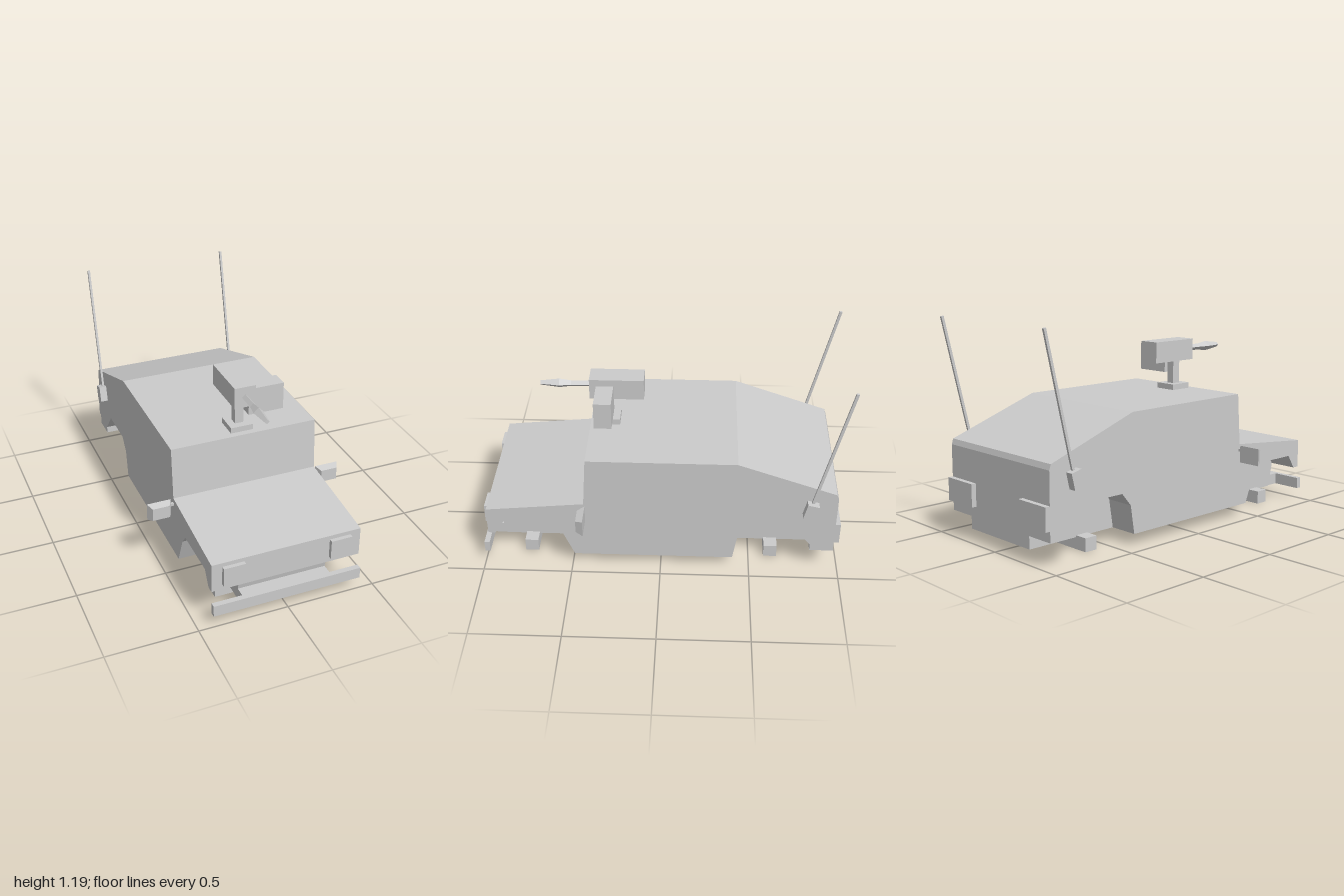
import * as THREE from 'three';

const material = new THREE.MeshStandardMaterial({ color: 0xcccccc, flatShading: true });

export function createModel() {
  const model = new THREE.Group();
  model.name = 'armouredTruck';

  const add = (name, geometry) => {
    const mesh = new THREE.Mesh(geometry, material);
    mesh.name = name;
    model.add(mesh);
    return mesh;
  };

  // Box given by its extents along each axis
  const box = (name, [x0, x1], [y0, y1], [z0, z1]) => {
    const mesh = add(name, new THREE.BoxGeometry(Math.abs(x1 - x0), y1 - y0, z1 - z0));
    mesh.position.set((x0 + x1) / 2, (y0 + y1) / 2, (z0 + z1) / 2);
    return mesh;
  };

  // Side profile of (z, y) points extruded across the width
  const slab = (name, points, x0, x1) => {
    const shape = new THREE.Shape(points.map(([z, y]) => new THREE.Vector2(z, y)));
    const geometry = new THREE.ExtrudeGeometry(shape, { depth: x1 - x0, bevelEnabled: false });
    geometry.rotateY(-Math.PI / 2).translate(x1, 0, 0);
    return add(name, geometry);
  };

  // Body: a full-height core between two flanks with wheel arches
  const W = 0.418, CORE = 0.25;
  const upper = [
    [0.93, 0.205], [0.97, 0.205], [0.97, 0.37], [0.425, 0.425], [0.405, 0.718],
    [-0.415, 0.718], [-0.957, 0.53], [-0.967, 0.5],
  ];
  const core = [[0.9, 0.065], ...upper, [-0.967, 0.065]];
  const flank = [
    ...upper,
    // rear arch
    [-0.967, 0.135], [-0.835, 0.135], [-0.835, 0.175], [-0.73, 0.297],
    [-0.49, 0.297], [-0.43, 0.225], [-0.405, 0.065],
    // front arch
    [0.487, 0.065], [0.555, 0.23], [0.6, 0.285], [0.88, 0.285],
  ];
  slab('bodyCore', core, -CORE, CORE);
  slab('leftFlank', flank, CORE, W);
  slab('rightFlank', flank, -W, -CORE);

  // Axle beams, bumper and its bracket
  box('frontAxle', [-0.325, 0.325], [0, 0.075], [0.71, 0.785]);
  box('rearAxle', [-0.325, 0.325], [0, 0.075], [-0.662, -0.587]);
  box('bumper', [-W, W], [0.068, 0.132], [0.97, 1]);
  box('bumperBracket', [-CORE, CORE], [0.068, 0.132], [0.88, 0.97]);

  for (const s of [1, -1]) {
    const side = s > 0 ? 'left' : 'right';
    box(side + 'Headlight', [s * 0.24, s * 0.36], [0.237, 0.347], [0.96, 0.992]);
    box(side + 'TailLight', [s * 0.203, s * W], [0.195, 0.322], [-0.995, -0.96]);

    // Mirror: box tapering toward the front, on a short arm
    const shell = new THREE.BoxGeometry(0.135, 0.098, 0.04);
    const p = shell.attributes.position;
    for (let i = 0; i < p.count; i++) {
      if (p.getZ(i) > 0) p.setXY(i, p.getX(i) * 0.7, p.getY(i) * 0.74);
    }
    add(side + 'Mirror', shell).position.set(s * 0.498, 0.37, 0.437);
    box(side + 'MirrorArm', [s * 0.41, s * 0.45], [0.383, 0.398], [0.418, 0.432]);

    // Antenna leaning back from a tilted mount
    const tilt = -0.23;
    const mount = box(side + 'AntennaMount', [s * 0.41, s * 0.461], [0.391, 0.483], [-0.853, -0.788]);
    mount.rotation.x = tilt;
    const rod = add(side + 'Antenna', new THREE.BoxGeometry(0.013, 0.735, 0.015));
    rod.position.set(s * 0.43, 0.832, -0.911);
    rod.rotation.x = tilt;
  }

  // Roof gun
  box('gunBase', [-0.064, 0.064], [0.71, 0.75], [0.24, 0.37]);
  box('gunPost', [-0.024, 0.024], [0.75, 0.89], [0.28, 0.33]);
  box('gunReceiver', [-0.06, 0.06], [0.885, 1.005], [0.105, 0.405]);
  box('ammoBox', [0.038, 0.24], [0.81, 0.965], [0.272, 0.368]);

  // Four-sided barrel swelling toward the muzzle
  const profile = [[0, 0.39], [0.018, 0.39], [0.018, 0.51], [0.028, 0.575], [0.014, 0.68], [0, 0.68]]
    .map(([r, z]) => new THREE.Vector2(r, z));
  const barrel = new THREE.LatheGeometry(profile, 4).rotateX(Math.PI / 2);
  add('gunBarrel', barrel).position.y = 0.945;

  return model;
}
